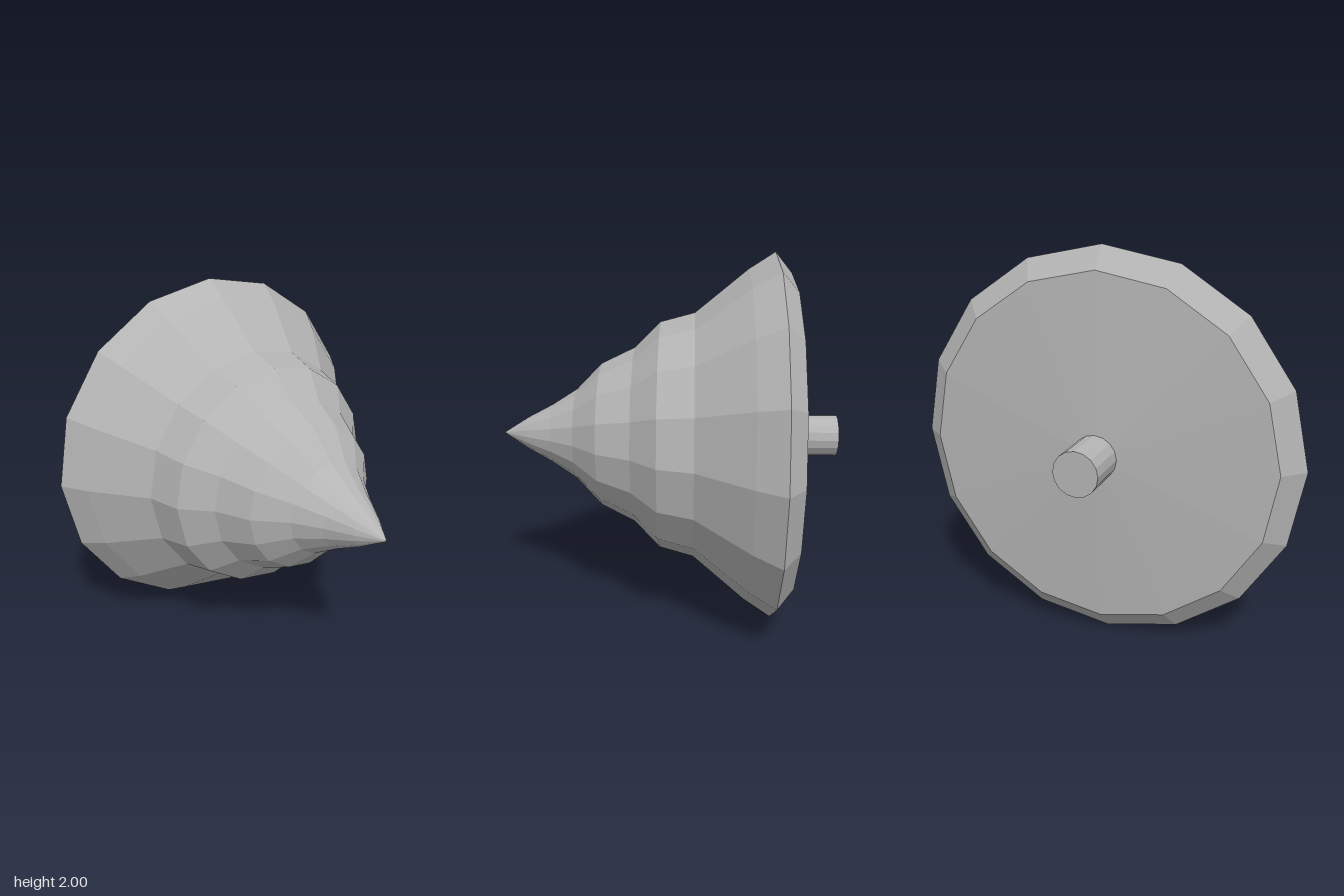
import * as THREE from 'three';

const SIDES = 16;

// Spin a [radius, z] profile (listed back to front) around the z axis
function spun(name, profile, material) {
  const points = profile.map(([r, z]) => new THREE.Vector2(r, z));
  const geometry = new THREE.LatheGeometry(points, SIDES).rotateX(Math.PI / 2);
  const mesh = new THREE.Mesh(geometry, material);
  mesh.name = name;
  mesh.position.y = 1;
  return mesh;
}

export function createModel() {
  const group = new THREE.Group();
  group.name = 'spinningTop';
  const grey = new THREE.MeshStandardMaterial({ color: 0xb4b4b4, flatShading: true });
  grey.name = 'grey';

  // Shallow back, bevelled rim and stepped body running to a point
  group.add(spun('body', [
    [0, -0.7], [0.11, -0.695], [0.89, -0.65], [1, -0.56], [0.91, -0.42], [0.68, -0.14],
    [0.63, 0.045], [0.49, 0.185], [0.4, 0.37], [0.255, 0.51],
    [0.165, 0.65], [0.09, 0.79], [0, 0.93],
  ], grey));

  // Short stem at the centre of the back
  group.add(spun('stem', [[0, -0.93], [0.113, -0.93], [0.113, -0.69]], grey));

  return group;
}
